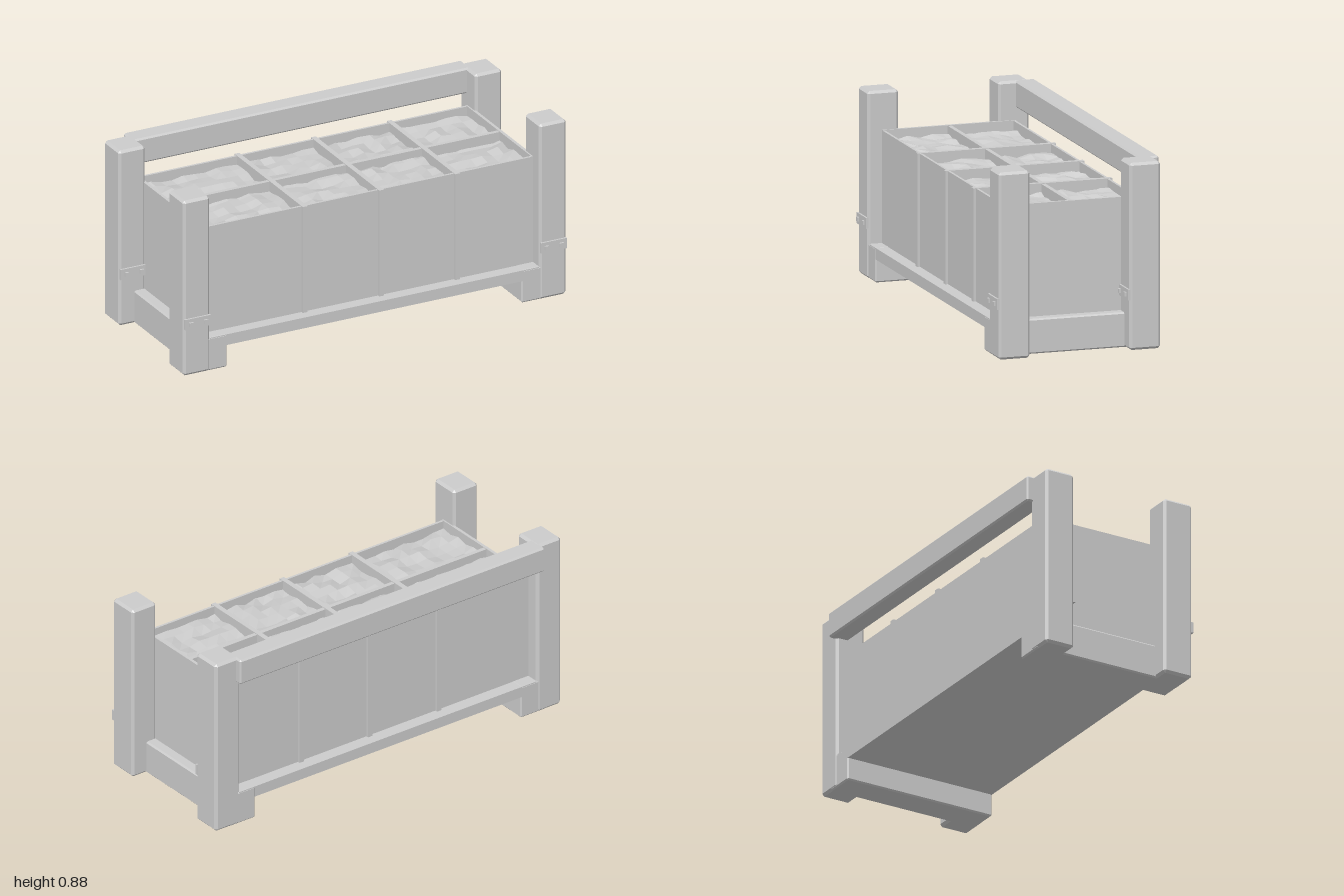
import * as THREE from 'three';
import { ConvexGeometry } from 'three/addons/geometries/ConvexGeometry.js';

export function createModel() {
  const model = new THREE.Group();
  model.name = 'dividedCrate';
  const grey = new THREE.MeshStandardMaterial({ color: 0xcccccc });
  grey.name = 'plain grey';

  const add = (name, geometry, parent = model) => {
    const mesh = new THREE.Mesh(geometry, grey);
    mesh.name = name;
    parent.add(mesh);
    return mesh;
  };

  // Plain box given by its limits on each axis
  const box = (name, [x0, x1], [y0, y1], [z0, z1], parent) => {
    const g = new THREE.BoxGeometry(x1 - x0, y1 - y0, z1 - z0);
    g.translate((x0 + x1) / 2, (y0 + y1) / 2, (z0 + z1) / 2);
    return add(name, g, parent);
  };

  // Box with chamfered edges: each corner becomes three points
  const beam = (name, xs, ys, zs, c = 0.012, parent) => {
    const points = [];
    for (const i of [0, 1]) for (const j of [0, 1]) for (const k of [0, 1]) {
      const corner = [xs[i], ys[j], zs[k]];
      const inward = [i, j, k].map((n) => (n ? -c : c));
      for (let keep = 0; keep < 3; keep++) {
        points.push(new THREE.Vector3(...corner.map((v, a) => (a === keep ? v : v + inward[a]))));
      }
    }
    return add(name, new ConvexGeometry(points), parent);
  };

  const span = (side, a, b) => (side > 0 ? [a, b] : [-b, -a]);

  for (const side of [1, -1]) {
    const label = side > 0 ? 'left' : 'right';

    // Corner posts, each with a riveted plate on its front face
    for (const [end, z0, z1] of [['Front', 0.252, 0.404], ['Back', -0.386, -0.235]]) {
      const corner = new THREE.Group();
      corner.name = `${label}${end}Corner`;
      model.add(corner);
      beam('post', span(side, 0.86, 1), [0, 0.885], [z0, z1], 0.012, corner);
      box('plate', span(side, 0.862, 0.996), [0.237, 0.289], [z1 - 0.003, z1 + 0.009], corner);
      for (const x of [0.889, 0.966]) {
        box('rivet', span(side, x - 0.01, x + 0.01), [0.252, 0.272], [z1, z1 + 0.018], corner);
      }
    }

    // Side runner forming the feet, and the end wall above it
    beam(`${label}Runner`, span(side, 0.768, 0.92), [0, 0.165], [-0.383, 0.398], 0.007);
    box(`${label}EndWall`, span(side, 0.853, 0.868), [0.15, 0.7], [-0.318, 0.335]);
  }

  // Raised floor whose long edges are the front and back sills
  box('floor', [-0.86, 0.86], [0.11, 0.164], [-0.382, 0.397]);

  // Long walls
  box('frontWall', [-0.862, 0.862], [0.15, 0.698], [0.323, 0.335]);
  box('backWall', [-0.862, 0.862], [0.15, 0.698], [-0.318, -0.306]);

  // Dividers, running through the walls as ribs
  for (const x of [-0.335, 0.064, 0.46]) {
    box('crossDivider', [x - 0.0125, x + 0.0125], [0.15, 0.7], [-0.331, 0.348]);
  }
  box('longDivider', [-0.86, 0.86], [0.15, 0.697], [-0.005, 0.016]);

  // Rail along the back
  beam('backRail', [-0.882, 0.882], [0.757, 0.884], [-0.418, -0.32], 0.008);

  // Uneven filling just below the rim
  let seed = 7;
  const random = () => (seed = (seed * 16807) % 2147483647) / 2147483647;
  const fill = new THREE.PlaneGeometry(1.716, 0.645, 30, 11).rotateX(-Math.PI / 2);
  const p = fill.attributes.position;
  for (let i = 0; i < p.count; i++) p.setY(i, 0.654 + (random() - 0.5) * 0.024);
  const flatFill = fill.toNonIndexed();
  flatFill.computeVertexNormals();
  flatFill.translate(0, 0, 0.0085);
  add('filling', flatFill);

  return model;
}
